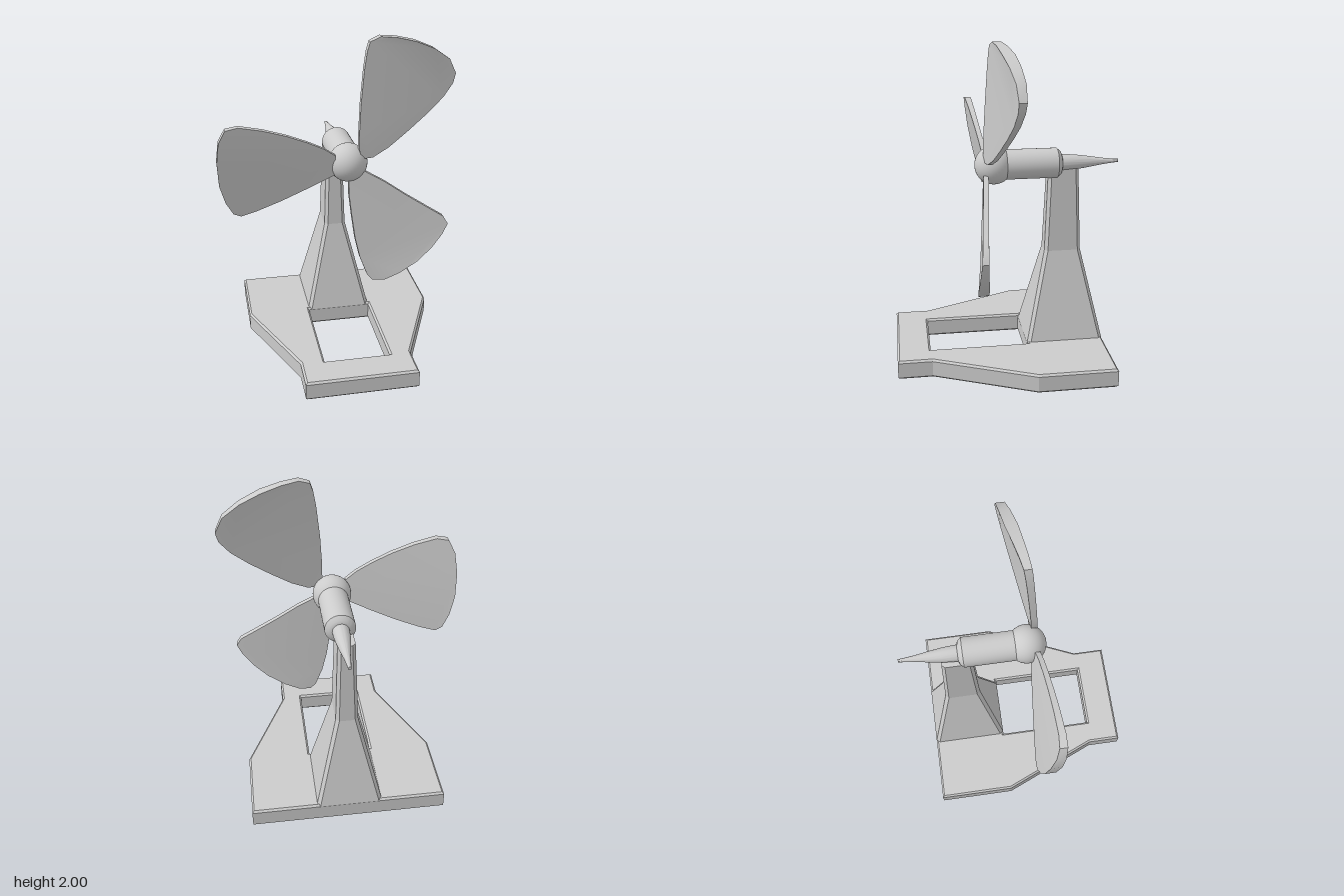
import * as THREE from 'three';
import { toCreasedNormals } from 'three/addons/utils/BufferGeometryUtils.js';

const AXIS_X = 0.058, AXIS_Y = 1.24;
const material = new THREE.MeshStandardMaterial({ color: 0xcccccc });
const flatMaterial = new THREE.MeshStandardMaterial({ color: 0xcccccc, flatShading: true });
const vec = ([x, y]) => new THREE.Vector2(x, y);

function part(name, geometry, mat = material) {
  const mesh = new THREE.Mesh(geometry, mat);
  mesh.name = name;
  return mesh;
}

// Flat bevelled frame with a rectangular opening in front of the tower
function makeBase() {
  const bevel = 0.012, height = 0.12;
  const outline = [[0.645, 0.597], [0.645, 0.115], [0.377, -0.49], [0.377, -0.7],
    [-0.312, -0.7], [-0.312, -0.49], [-0.565, 0.115], [-0.565, 0.597]];
  const opening = [[-0.165, 0.115], [-0.165, -0.495], [0.243, -0.495], [0.243, 0.115]];
  const shape = new THREE.Shape(outline.map(vec));
  shape.holes.push(new THREE.Path(opening.map(vec)));
  const g = new THREE.ExtrudeGeometry(shape, {
    depth: height - 2 * bevel, bevelEnabled: true, bevelSegments: 1,
    bevelSize: bevel, bevelThickness: bevel, bevelOffset: -bevel,
  });
  g.translate(0, 0, bevel);
  g.rotateX(-Math.PI / 2);
  return part('base', g, flatMaterial);
}

// Tower lofted from rectangles with cut corners
function makeTower() {
  const cx = 0.038, cz = -0.356, c = 0.02;
  const levels = [[0.11, 0.204, 0.241], [0.68, 0.068, 0.114], [1.21, 0.052, 0.094]];
  const pos = [], index = [];
  for (const [y, hx, hz] of levels) {
    const ring = [[hx, hz - c], [hx - c, hz], [c - hx, hz], [-hx, hz - c],
      [-hx, c - hz], [c - hx, -hz], [hx - c, -hz], [hx, c - hz]];
    for (const [x, z] of ring) pos.push(cx + x, y, cz + z);
  }
  for (let l = 0; l < 2; l++) {
    for (let i = 0; i < 8; i++) {
      const a = l * 8 + i, b = l * 8 + (i + 1) % 8;
      index.push(a, a + 8, b, b, a + 8, b + 8);
    }
  }
  for (let i = 1; i < 7; i++) index.push(16, 16 + i + 1, 16 + i, 0, i, i + 1);
  const g = new THREE.BufferGeometry();
  g.setAttribute('position', new THREE.Float32BufferAttribute(pos, 3));
  g.setIndex(index);
  g.computeVertexNormals();
  return part('tower', g, flatMaterial);
}

// Turned part along the rotor axis, profile given as [radius, z] from back to front
function turned(name, profile) {
  const g = new THREE.LatheGeometry(profile.map(vec), 40);
  g.rotateX(Math.PI / 2);
  g.translate(AXIS_X, AXIS_Y, 0);
  return part(name, toCreasedNormals(g, 0.5));
}

// Blade from its front outline, pitched by the slopes a (along x) and b (along y);
// it thickens towards the tip and thins towards both long edges
function makeBlade(name, angle, outline, z0, a, b) {
  const g = new THREE.ExtrudeGeometry(new THREE.Shape(outline.map(vec)), { depth: 1, bevelEnabled: false });
  const p = g.attributes.position;
  const c = Math.cos(angle), s = Math.sin(angle);
  for (let i = 0; i < p.count; i++) {
    const x = p.getX(i) - AXIS_X, y = p.getY(i) - AXIS_Y;
    const thickness = 0.032 + 0.05 * (x * c + y * s) - 0.08 * Math.abs(y * c - x * s);
    p.setZ(i, z0 + a * x + b * y + (p.getZ(i) - 0.5) * thickness);
  }
  g.computeVertexNormals();
  return part(name, toCreasedNormals(g, 0.5));
}

export function createModel() {
  const model = new THREE.Group();
  model.name = 'windTurbine';
  model.add(makeBase(), makeTower());

  // Housing and tapering tail
  model.add(turned('housing', [[0, -0.345], [0.05, -0.345], [0.07, -0.338], [0.092, -0.315], [0.092, 0.01], [0, 0.01]]));
  model.add(turned('tail', [[0, -0.7], [0.01, -0.7], [0.012, -0.67], [0.02, -0.6], [0.033, -0.52],
    [0.043, -0.45], [0.048, -0.4], [0.051, -0.34], [0, -0.33]]));

  // Rounded hub
  const hub = part('hub', new THREE.SphereGeometry(0.118, 40, 24));
  hub.position.set(AXIS_X, AXIS_Y, 0.073);
  model.add(hub);

  // Three blades
  const rotor = new THREE.Group();
  rotor.name = 'rotor';
  rotor.add(
    makeBlade('upperBlade', Math.PI / 3, [[0.13, 1.28], [0.112, 1.34], [0.113, 1.45], [0.122, 1.62], [0.142, 1.82],
      [0.158, 1.92], [0.175, 1.975], [0.24, 2], [0.34, 1.988], [0.46, 1.957], [0.58, 1.905], [0.68, 1.835],
      [0.725, 1.745], [0.71, 1.685], [0.65, 1.605], [0.55, 1.515], [0.42, 1.415], [0.3, 1.33], [0.2, 1.28]],
    0.14, -0.175, -0.042),
    makeBlade('sideBlade', Math.PI, [[-0.03, 1.31], [-0.1, 1.36], [-0.2, 1.41], [-0.32, 1.46], [-0.46, 1.505],
      [-0.6, 1.535], [-0.675, 1.52], [-0.715, 1.44], [-0.73, 1.31], [-0.722, 1.16], [-0.69, 1.04],
      [-0.645, 0.955], [-0.6, 0.935], [-0.5, 0.965], [-0.35, 1.025], [-0.2, 1.095], [-0.03, 1.18]],
    0.112, 0, 0.183),
    makeBlade('lowerBlade', -Math.PI / 3, [[0.05, 1.18], [0.053, 1.05], [0.068, 0.92], [0.09, 0.76], [0.12, 0.63],
      [0.165, 0.51], [0.2, 0.472], [0.275, 0.472], [0.37, 0.518], [0.48, 0.595], [0.57, 0.685],
      [0.635, 0.775], [0.665, 0.84], [0.635, 0.89], [0.54, 0.95], [0.4, 1.04], [0.27, 1.13], [0.15, 1.2]],
    0.12, 0.1, -0.034),
  );
  model.add(rotor);
  return model;
}
